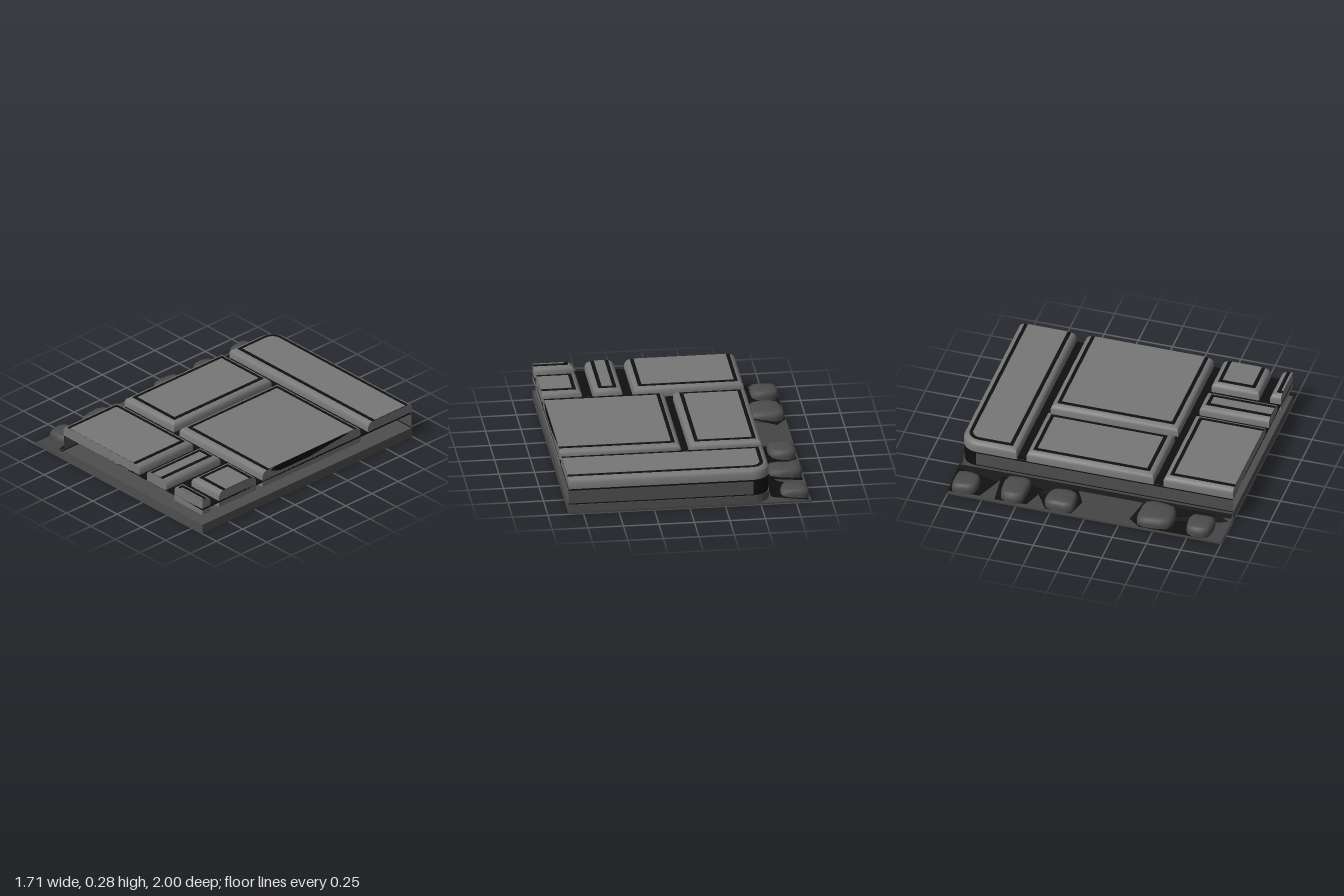
import * as THREE from 'three';
import { toCreasedNormals } from 'three/addons/utils/BufferGeometryUtils.js';

const X0 = -0.57, X1 = 0.855, Z0 = -1, Z1 = 1;

function flat(name, color, side = THREE.FrontSide) {
  const m = new THREE.MeshStandardMaterial({ color, side });
  m.name = name;
  return m;
}

// Closed solid through convex rings of [x, y, z], lowest ring first
function loft(rings, crease = 0.7) {
  const pos = [];
  const tri = (...pts) => pts.forEach((p) => pos.push(...p));
  const n = rings[0].length, top = rings[rings.length - 1], low = rings[0];
  for (let k = 0; k < rings.length - 1; k++) {
    for (let j = 0; j < n; j++) {
      const a = rings[k][j], b = rings[k][(j + 1) % n];
      const c = rings[k + 1][j], d = rings[k + 1][(j + 1) % n];
      tri(b, a, c);
      tri(b, c, d);
    }
  }
  for (let j = 1; j < n - 1; j++) {
    tri(top[0], top[j + 1], top[j]);
    tri(low[0], low[j], low[j + 1]);
  }
  const g = new THREE.BufferGeometry();
  g.setAttribute('position', new THREE.Float32BufferAttribute(pos, 3));
  g.computeVertexNormals();
  return toCreasedNormals(g, crease);
}

// Rectangle with a rounded back corner; sides on the tile's cut edges are not inset
function outline([x0, x1, z0, z1], r, inset, y) {
  const a = x0 + inset, b = z0 + inset, rad = Math.max(r - inset, 0.004);
  const right = x1 >= X1 ? x1 : x1 - inset, front = z1 >= Z1 ? z1 : z1 - inset;
  const pts = [];
  for (let i = 0; i <= 8; i++) {
    const t = (i / 8) * Math.PI / 2;
    pts.push([a + rad * (1 - Math.cos(t)), y, b + rad * (1 - Math.sin(t))]);
  }
  pts.push([right, y, b], [right, y, front], [a, y, front]);
  return pts;
}

// Upright strip along a path of [x, z]
function ribbon(path, y0, y1) {
  const pos = [];
  for (let i = 0; i < path.length - 1; i++) {
    const [ax, az] = path[i], [bx, bz] = path[i + 1];
    pos.push(bx, y0, bz, ax, y0, az, ax, y1, az, bx, y0, bz, ax, y1, az, bx, y1, bz);
  }
  const g = new THREE.BufferGeometry();
  g.setAttribute('position', new THREE.Float32BufferAttribute(pos, 3));
  g.computeVertexNormals();
  return toCreasedNormals(g, 0.6);
}

export function createModel() {
  const model = new THREE.Group();
  model.name = 'pavementTile';
  const slabMat = flat('paving grey', 0x777777);
  const wallMat = flat('curb grey', 0x4e4e4e, THREE.DoubleSide);
  const groundMat = flat('ground grey', 0x454545);
  const stoneMat = flat('cobble grey', 0x4c4c4c);
  const blackMat = flat('joint black', 0x101010, THREE.DoubleSide);
  const add = (name, geometry, material, parent = model) => {
    const m = new THREE.Mesh(geometry, material);
    m.name = name;
    parent.add(m);
    return m;
  };

  // Ground sheet and curb base
  const ground = new THREE.BoxGeometry(1.71, 0.014, 2);
  add('ground', ground, groundMat).position.y = 0.007;
  const full = [X0, X1, Z0, Z1];
  add('curbBase', loft([outline(full, 0.12, 0, 0.001), outline(full, 0.12, 0, 0.07)]), wallMat);

  // Thin curb walls on the left and back; the cut sides stay open
  const arc = outline(full, 0.12, 0.006, 0).slice(0, 9).map((p) => [p[0], p[2]]);
  const leftRun = [[arc[0][0], Z1], arc[0]], backRun = [arc[8], [X1, arc[8][1]]];
  const run = [leftRun[0], ...arc, backRun[1]];
  add('curbSide', ribbon(leftRun, 0.078, 0.176), wallMat);
  add('curbBack', ribbon(backRun, 0.078, 0.176), wallMat);
  add('curbCorner', ribbon(arc, 0.078, 0.176), blackMat);
  add('lowerJoint', ribbon(run, 0.07, 0.078), blackMat);
  add('upperJoint', ribbon(run, 0.176, 0.192), blackMat);

  // Dark bed seen in the gaps between slabs
  add('jointBed', loft([outline(full, 0.12, 0.015, 0.188), outline(full, 0.12, 0.015, 0.2)]), blackMat);

  // Bevelled slabs: [bounds, underside, corner radius]
  const slabs = [
    [[X0, X1, Z0, -0.58], 0.19, 0.13],
    [[X0, -0.06, -0.51, 0.42], 0.19, 0.01],
    [[0, X1, -0.51, 0.425], 0.15, 0.01],
    [[X0, 0.21, 0.49, Z1], 0.19, 0.01],
    [[0.285, 0.49, 0.49, Z1], 0.19, 0.01],
    [[0.57, X1, 0.49, 0.84], 0.15, 0.01],
    [[0.57, X1, 0.92, Z1], 0.15, 0.01],
  ];
  slabs.forEach(([box, low, r], i) => {
    const slab = new THREE.Group();
    slab.name = 'slab' + (i + 1);
    model.add(slab);
    const ring = (inset, y) => outline(box, r, inset, y);
    add('slabBody', loft([ring(0, low), ring(0, 0.238), ring(0.01, 0.258), ring(0.034, 0.271)]), slabMat, slab);
    // Black border line and the raised panel inside it
    add('borderLine', loft([ring(0.039, 0.27), ring(0.039, 0.273)]), blackMat, slab);
    add('panel', loft([ring(0.065, 0.272), ring(0.065, 0.275)]), slabMat, slab);
  });

  // Worn dark chip on the cut edge of the large slab
  const chip = new THREE.Shape();
  [[-0.35, 0.255], [-0.3, 0.235], [-0.25, 0.222], [0.02, 0.222], [0.4, 0.265], [0.36, 0.274], [-0.3, 0.274]]
    .forEach(([x, y], i) => (i ? chip.lineTo(x, y) : chip.moveTo(x, y)));
  const chipMesh = add('edgeChip', new THREE.ShapeGeometry(chip), blackMat);
  chipMesh.rotation.y = Math.PI / 2;
  chipMesh.position.x = 0.8555;

  // Dark soil between the cobbles, rising towards the curb
  const soil = [
    [[-0.61, -1], [-0.57, -1], [-0.57, 1], [-0.61, 1]],
    [[-0.84, -1], [-0.6, -1], [-0.6, -0.65], [-0.66, -0.69], [-0.83, -0.77]],
    [[-0.84, -0.66], [-0.6, -0.68], [-0.6, -0.3], [-0.65, -0.35], [-0.83, -0.43]],
    [[-0.84, -0.29], [-0.7, -0.38], [-0.6, -0.36], [-0.6, -0.12], [-0.7, -0.06], [-0.84, -0.1]],
    [[-0.85, 0.4], [-0.78, 0.31], [-0.6, 0.36], [-0.6, 0.92], [-0.64, 0.99], [-0.67, 0.88], [-0.85, 0.85]],
  ];
  soil.forEach((pts, i) => {
    const pos = [];
    const lift = ([x, z]) => [x, 0.018 + 0.04 * Math.max(0, (x + 0.72) / 0.15), z];
    const faces = THREE.ShapeUtils.triangulateShape(pts.map((p) => new THREE.Vector2(p[0], -p[1])), []);
    faces.forEach((f) => f.forEach((k) => pos.push(...lift(pts[k]))));
    const g = new THREE.BufferGeometry();
    g.setAttribute('position', new THREE.Float32BufferAttribute(pos, 3));
    g.computeVertexNormals();
    add('soil' + (i + 1), g, blackMat);
  });

  // Rounded, slightly irregular cobbles: [x0, x1, z0, z1]
  const cobbles = [
    [-0.85, -0.645, -0.99, -0.8],
    [-0.85, -0.59, -0.64, -0.445],
    [-0.85, -0.645, -0.31, -0.085],
    [-0.85, -0.59, 0.355, 0.625],
    [-0.85, -0.645, 0.72, 0.915],
  ];
  const profile = [[0.97, 0.01], [1, 0.045], [0.96, 0.066], [0.86, 0.08], [0.66, 0.087], [0.35, 0.091]];
  cobbles.forEach(([x0, x1, z0, z1], i) => {
    const cx = (x0 + x1) / 2, cz = (z0 + z1) / 2;
    const rings = profile.map(([s, y]) => Array.from({ length: 16 }, (_, j) => {
      const t = (j / 16) * Math.PI * 2, c = Math.cos(t), n = Math.sin(t);
      const round = Math.pow(c ** 4 + n ** 4, -0.25) * (1 - 0.04 * (1 + Math.sin(3 * t + i * 2)));
      return [cx + c * s * round * (x1 - x0) / 2, y, cz + n * s * round * (z1 - z0) / 2];
    }));
    add('cobble' + (i + 1), loft(rings, 1), stoneMat);
  });

  return model;
}
